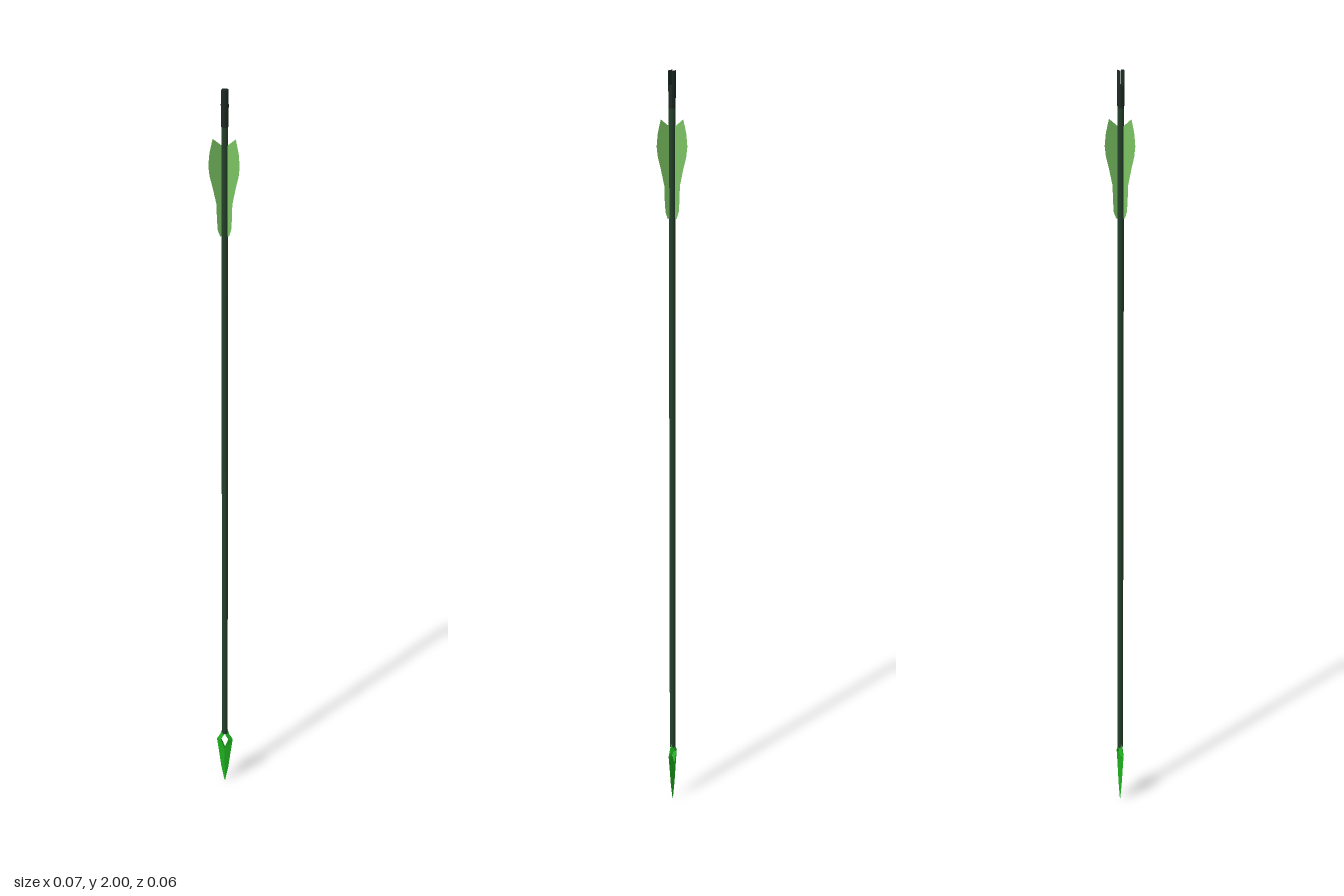
import * as THREE from 'three';

const AXIS_Z = 0.008; // the three vanes reach further back than forward

function material(color, options = {}) {
  return new THREE.MeshStandardMaterial({ color, ...options });
}

function addMesh(parent, name, geometry, mat) {
  const mesh = new THREE.Mesh(geometry, mat);
  mesh.name = name;
  parent.add(mesh);
  return mesh;
}

// Upright cylinder between two heights
function rod(rTop, rBottom, y0, y1, sides) {
  return new THREE.CylinderGeometry(rTop, rBottom, y1 - y0, sides).translate(0, (y0 + y1) / 2, 0);
}

// One half of the head: triangular sections [y, inner x, outer x, half thickness]
function headHalf() {
  const stations = [
    [0, 0, 0.001, 0.0005],
    [0.05, 0, 0.01, 0.003],
    [0.118, 0, 0.018, 0.0055],
    [0.15, 0.011, 0.022, 0.005],
    [0.166, 0.003, 0.013, 0.006],
    [0.183, 0, 0.008, 0.007],
  ];
  const positions = [];
  const index = [];
  stations.forEach(([y, inner, outer, t], i) => {
    positions.push(inner, y, t, outer, y, 0, inner, y, -t);
    if (i === 0) return;
    const a = (i - 1) * 3;
    const b = i * 3;
    for (let k = 0; k < 3; k++) {
      const n = (k + 1) % 3;
      index.push(a + k, a + n, b + n, a + k, b + n, b + k);
    }
  });
  const top = (stations.length - 1) * 3;
  index.push(0, 2, 1, top, top + 1, top + 2);
  const geometry = new THREE.BufferGeometry();
  geometry.setAttribute('position', new THREE.Float32BufferAttribute(positions, 3));
  geometry.setIndex(index);
  geometry.computeVertexNormals();
  return geometry;
}

// Vane outline, x is the distance from the shaft axis
function vaneGeometry() {
  const outline = [
    [0.004, 1.655], [0.012, 1.655], [0.018, 1.672], [0.02, 1.7], [0.021, 1.735],
    [0.03, 1.775], [0.038, 1.805], [0.041, 1.83], [0.038, 1.86], [0.03, 1.892],
    [0.018, 1.882], [0.004, 1.87],
  ];
  return new THREE.ShapeGeometry(new THREE.Shape(outline.map(([x, y]) => new THREE.Vector2(x, y))));
}

// Nock prong: circle segment beside the string slot
function prongGeometry(radius, slotHalf, y0, y1) {
  const a = Math.asin(slotHalf / radius);
  const shape = new THREE.Shape();
  shape.absarc(0, 0, radius, a, Math.PI - a, false);
  shape.closePath();
  const geometry = new THREE.ExtrudeGeometry(shape, { depth: y1 - y0, bevelEnabled: false, curveSegments: 6 });
  return geometry.rotateX(-Math.PI / 2).translate(0, y0, 0);
}

export function createModel() {
  const arrow = new THREE.Group();
  arrow.name = 'arrow';
  arrow.position.z = AXIS_Z;

  const shaftMat = material(0x24402a);
  const nockMat = material(0x1c2a22, { flatShading: true });
  const headMat = material(0x1fb41f, { flatShading: true });
  const vaneMat = material(0x7cc463, { side: THREE.DoubleSide });

  addMesh(arrow, 'shaft', rod(0.0078, 0.0078, 0.172, 1.925, 12), shaftMat);

  // Head: two mirrored halves leave an opening under the socket
  const head = new THREE.Group();
  head.name = 'head';
  arrow.add(head);
  const half = headHalf();
  for (const [name, turn] of [['headLeft', 0], ['headRight', Math.PI]]) {
    addMesh(head, name, half, headMat).rotation.y = turn;
  }

  // Vanes: one to the back, two to the front sides
  const vane = vaneGeometry();
  for (let i = 0; i < 3; i++) {
    addMesh(arrow, `vane${i + 1}`, vane, vaneMat).rotation.y = Math.PI / 2 + (i * 2 * Math.PI) / 3;
  }

  // Nock with a string slot running left to right
  const nock = new THREE.Group();
  nock.name = 'nock';
  arrow.add(nock);
  addMesh(nock, 'nockBase', rod(0.009, 0.008, 1.915, 1.967, 12), nockMat);
  const prong = prongGeometry(0.009, 0.004, 1.967, 2);
  for (const [name, turn] of [['backProng', 0], ['frontProng', Math.PI]]) {
    addMesh(nock, name, prong, nockMat).rotation.y = turn;
  }

  const model = new THREE.Group();
  model.add(arrow);
  return model;
}
